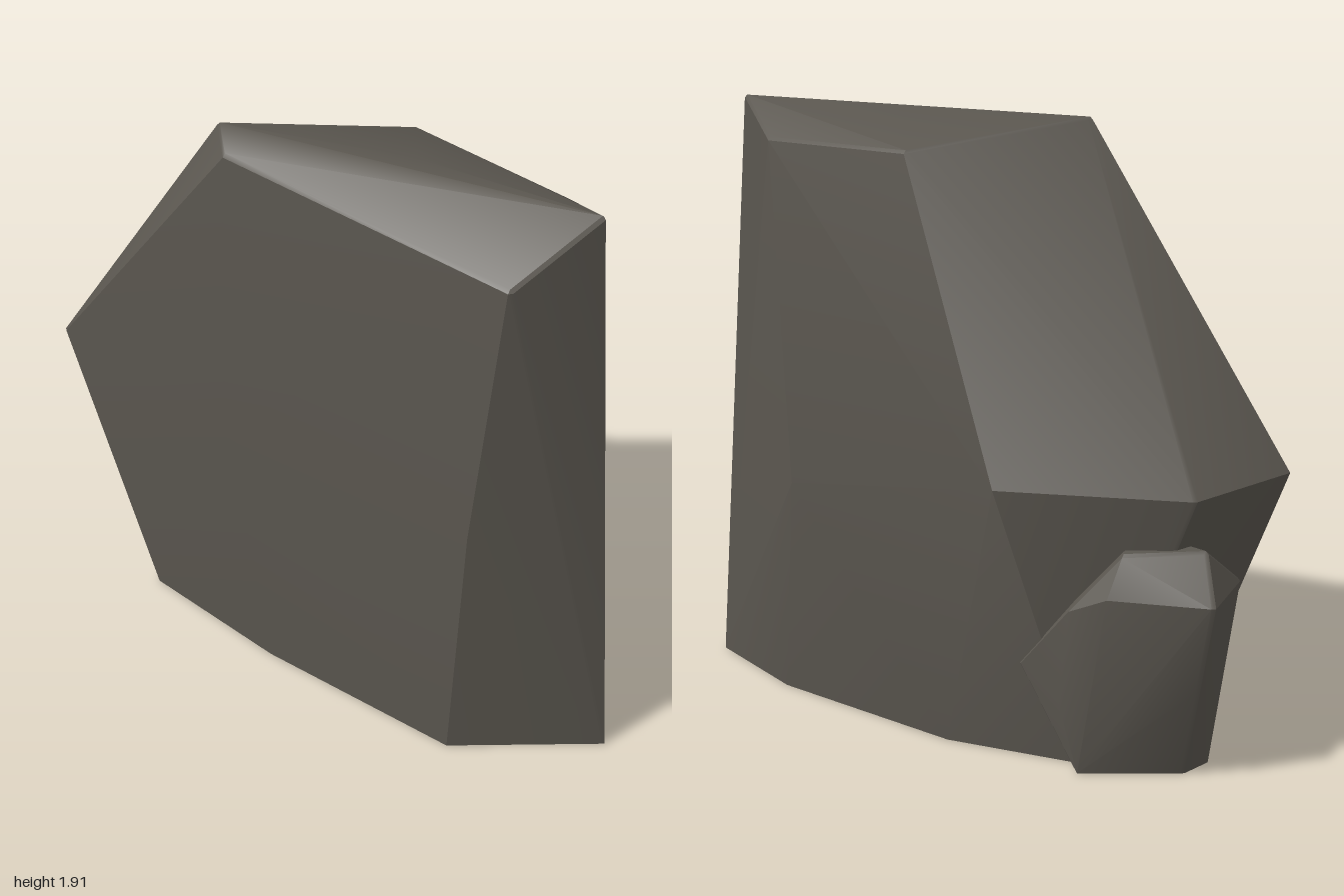
import * as THREE from 'three';
import { toCreasedNormals } from 'three/addons/utils/BufferGeometryUtils.js';
import { ConvexGeometry } from 'three/addons/geometries/ConvexGeometry.js';

// Convex stone with slightly worn corners: each corner becomes a tiny octahedron
function stone(name, corners, wear, material) {
  const points = [];
  for (const [x, y, z] of corners) {
    for (const s of [-wear, wear]) {
      points.push(new THREE.Vector3(x + s, y, z));
      points.push(new THREE.Vector3(x, Math.max(0, y + s), z));
      points.push(new THREE.Vector3(x, y, z + s));
    }
  }
  const mesh = new THREE.Mesh(toCreasedNormals(new ConvexGeometry(points), 0.42), material);
  mesh.name = name;
  return mesh;
}

export function createModel() {
  const group = new THREE.Group();
  group.name = 'rock';
  const darkStone = new THREE.MeshStandardMaterial({ color: 0x5a564f });
  darkStone.name = 'darkStone';

  // Tall leaning slab
  group.add(stone('mainSlab', [
    // base
    [-0.64, 0, 0.24], [-0.1, 0, 0.3], [0.61, 0, 0.3], [0.99, 0, 0],
    [0.6, 0, -0.16], [-0.1, 0, -0.25], [-0.55, 0, -0.18],
    // widest girdle
    [-0.99, 0.89, 0.24], [-0.2, 0.92, 0.365], [0.69, 0.9, 0.345],
    [0.47, 0.75, -0.28], [-0.34, 0.88, -0.37], [-0.87, 0.87, -0.12],
    // crown
    [-0.28, 1.89, 0.26], [-0.2, 1.85, 0.335], [0.775, 1.76, 0.32],
    [0.885, 1.9, 0.05], [0.3, 1.9, 0.1], [0.66, 1.8, -0.12], [0.1, 1.81, -0.18],
  ], 0.01, darkStone));

  // Small boulder leaning on the rear side
  group.add(stone('sideBoulder', [
    [-0.85, 0, 0.03], [-0.83, 0, -0.08], [-0.57, 0, -0.25], [-0.5, 0, 0.05],
    [-0.91, 0.3, -0.15], [-0.52, 0.22, -0.28], [-0.38, 0.32, -0.27],
    [-0.97, 0.58, -0.18], [-0.94, 0.6, 0.03], [-0.55, 0.52, -0.28],
    [-0.68, 0.58, -0.28], [-0.7, 0.7, -0.23], [-0.9, 0.71, -0.1], [-0.6, 0.7, 0],
  ], 0.01, darkStone));

  return group;
}
